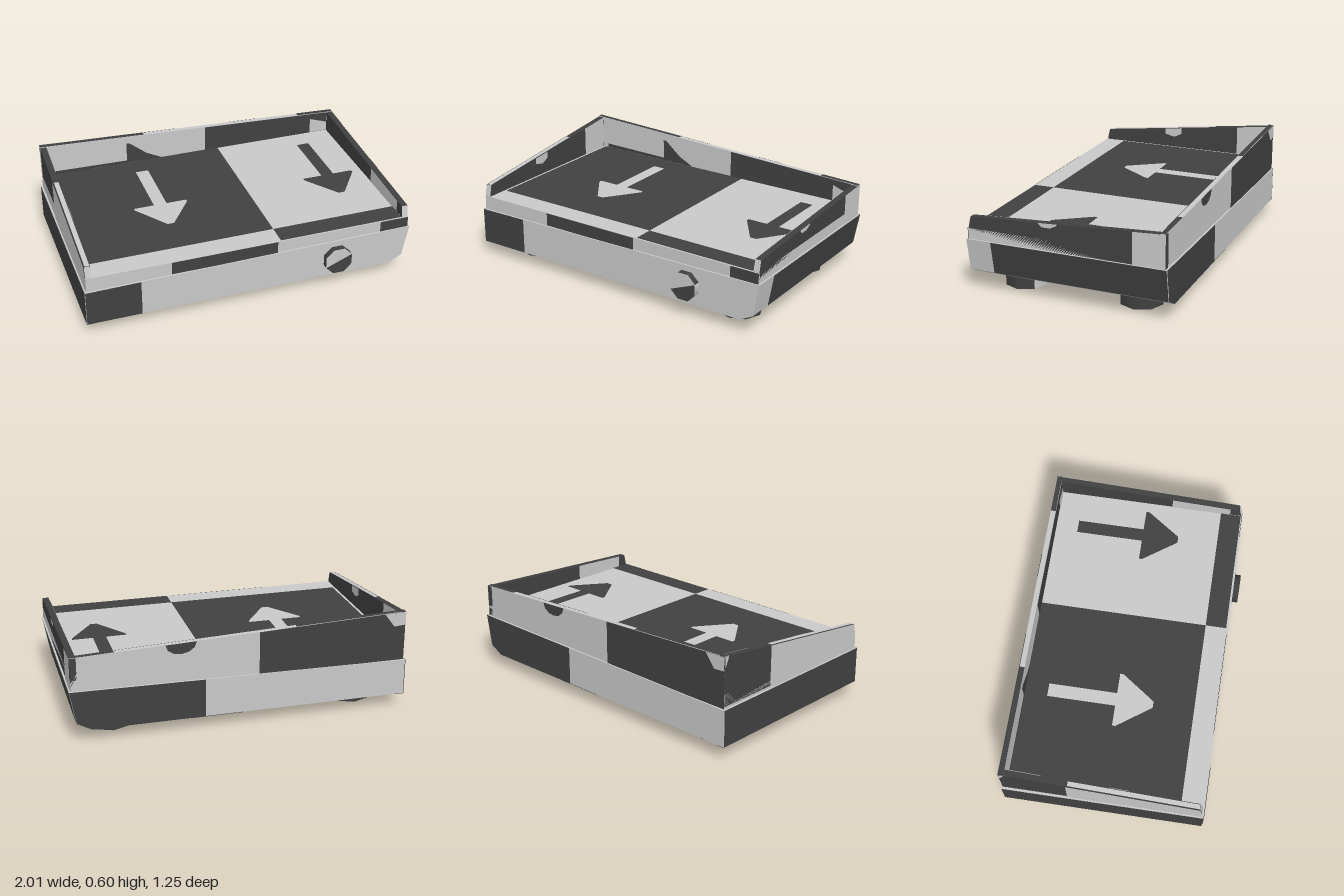
import * as THREE from 'three';

export function createModel() {
  const model = new THREE.Group();
  const light = new THREE.MeshStandardMaterial({ color: 0xc8c8c8, side: THREE.DoubleSide });
  light.name = 'light grey';
  const dark = new THREE.MeshStandardMaterial({ color: 0x404040, side: THREE.DoubleSide });
  dark.name = 'dark grey';

  const add = (name, geo, mat) => {
    const mesh = new THREE.Mesh(geo, mat);
    mesh.name = name;
    model.add(mesh);
    return mesh;
  };
  const shapeOf = pts => new THREE.Shape(pts.map(p => new THREE.Vector2(p[0], p[1])));
  const rect = (a, b, c, d) => [[a, c], [b, c], [b, d], [a, d]];

  // Thin painted face: a flat outline moved into place by a rule
  const paint = (name, mat, pts, place) => {
    const geo = new THREE.ShapeGeometry(shapeOf(pts));
    const pos = geo.attributes.position;
    for (let i = 0; i < pos.count; i++) pos.setXYZ(i, ...place(pos.getX(i), pos.getY(i)));
    geo.computeVertexNormals();
    return add(name, geo, mat);
  };
  const atX = x => (z, y) => [x, y, z];
  const atY = y => (x, z) => [x, y, z];
  const atZ = z => (x, y) => [x, y, z];

  // Outline extruded along z or along x
  const prismZ = (pts, z0, z1) =>
    new THREE.ExtrudeGeometry(shapeOf(pts), { depth: z1 - z0, bevelEnabled: false }).translate(0, 0, z0);
  const prismX = (pts, x0, x1) =>
    new THREE.ExtrudeGeometry(shapeOf(pts.map(([z, y]) => [-z, y])), { depth: x1 - x0, bevelEnabled: false })
      .rotateY(Math.PI / 2).translate(x0, 0, 0);

  // Eight-sided cylinder with chosen side facets in the second colour
  const octagon = (name, r, h, mats, facets, start = 0) => {
    const geo = new THREE.CylinderGeometry(r, r, h, 8, 1, false, start);
    geo.clearGroups();
    for (let i = 0; i < 8; i++) geo.addGroup(i * 6, 6, facets.includes(i) ? 1 : 0);
    geo.addGroup(48, 48, 0);
    return add(name, geo, mats);
  };

  // Base with one chamfered long edge
  add('base', prismZ([[-1, 0.08], [0.88, 0.08], [0.965, 0.125], [1, 0.32], [-1, 0.297]], -0.625, 0.585), light);
  paint('baseFrontPatch', dark, [[-1, 0.08], [-0.675, 0.08], [-0.675, 0.301], [-1, 0.297]], atZ(0.588));
  paint('baseLeftPatch', dark, rect(-0.625, 0.43, 0.125, 0.32),
    (z, y) => [0.968 + (y - 0.125) * 0.18, y, z]);
  paint('baseRightPatch', dark, rect(-0.625, 0.585, 0.08, 0.297), atX(-1.003));
  paint('baseBackPatch', dark,
    [[0.22, 0.08], [0.88, 0.08], [0.965, 0.125], [1, 0.32], [0.22, 0.311]], atZ(-0.628));
  paint('bottomEdgeStrip', dark, rect(-1, -0.95, -0.625, 0.585), atY(0.077));
  paint('bottomArrow', dark, [[0.07, 0.41], [0.22, 0.41], [0.22, -0.41], [0.49, -0.41],
    [0.3, -0.625], [0, -0.625], [-0.19, -0.41], [0.07, -0.41]], atY(0.077));

  // Feet
  for (const [x, z, facets] of [[-0.74, 0.34, [1]], [0.74, 0.34, [3]], [-0.74, -0.38, [1]], [0.74, -0.38, [0]]]) {
    octagon('foot', 0.13, 0.085, [dark, light], facets).position.set(x, 0.0425, z);
  }

  // Front knob
  const knob = octagon('knob', 0.088, 0.06, [light, dark], [2, 3, 4, 5], Math.PI / 8);
  knob.rotation.x = Math.PI / 2;
  knob.position.set(0.53, 0.197, 0.593);
  const half = [0, 1, 2, 3, 4].map(i => {
    const a = Math.PI * (9 / 8 + i / 4);
    return [0.53 + 0.088 * Math.cos(a), 0.197 + 0.088 * Math.sin(a)];
  });
  paint('knobFacePatch', dark, half, atZ(0.625));

  // Tray floor and its front edge
  add('trayFloor', new THREE.BoxGeometry(1.98, 0.095, 1.19).translate(0, 0.3375, -0.02), light);
  paint('trayFrontPatch', dark, rect(-0.49, 0.155, 0.306, 0.385), atZ(0.578));
  paint('trayFrontPatch', dark, rect(0.81, 0.99, 0.315, 0.385), atZ(0.578));
  paint('floorPanel', dark, rect(-0.935, 0.175, -0.585, 0.443), atY(0.388));
  paint('floorStrip', dark, rect(0.175, 0.95, 0.443, 0.57), atY(0.388));

  // Floor arrows
  const arrow = cx => [[-0.04, -0.445], [0.04, -0.445], [0.04, -0.03], [0.165, -0.03], [0.165, -0.01],
    [0.02, 0.195], [-0.02, 0.195], [-0.165, -0.01], [-0.165, -0.03], [-0.04, -0.03]].map(([x, z]) => [cx + x, z]);
  paint('floorArrow', light, arrow(-0.38), atY(0.391));
  paint('floorArrow', dark, arrow(0.725), atY(0.388));

  // Sloping side walls
  const wall = top => [[0.575, 0.31], [0.57, 0.39], [0.555, 0.455], [-0.615, top], [-0.615, 0.31]];
  add('rightWall', prismX(wall(0.6), -0.99, -0.953), dark);
  add('leftWall', prismX(wall(0.518), 0.953, 0.99), dark);
  const highTop = z => 0.455 + (0.555 - z) * 0.145 / 1.17;
  const lowTop = z => 0.455 + (0.555 - z) * 0.063 / 1.17;

  paint('rightWallOuterPatch', light, [[-0.23, 0.297], [0.575, 0.297], [0.57, 0.39], [0.555, 0.455],
    [-0.23, highTop(-0.23)]], atX(-0.993));
  paint('rightWallCornerPatch', light, [[-0.615, 0.53], [-0.615, 0.6], [-0.585, highTop(-0.585)]], atX(-0.993));
  paint('rightWallInnerPatch', light, [[-0.58, 0.385], [-0.38, 0.385], [-0.38, highTop(-0.38)],
    [-0.58, highTop(-0.58)]], atX(-0.95));
  paint('rightWallInnerSpot', light, [[0.135, 0.47], [0.07, 0.455], [0.02, 0.48], [0.02, highTop(0.02)],
    [0.135, highTop(0.135)]], atX(-0.95));
  paint('rightRimPatch', light, rect(-0.985, -0.957, -0.22, 0.555), (x, z) => [x, highTop(z) + 0.002, z]);

  paint('leftWallOuterPatch', light, [[-0.615, 0.32], [-0.425, 0.32], [-0.425, lowTop(-0.425)],
    [-0.615, 0.518]], atX(0.993));
  paint('leftWallOuterSpot', light, [[0.11, 0.455], [0.06, 0.455], [0.02, 0.475], [0.02, lowTop(0.02)],
    [0.135, lowTop(0.135)]], atX(0.993));
  paint('leftWallInnerPatch', light, [[0.13, 0.385], [0.5, 0.385], [0.5, lowTop(0.5)],
    [0.13, lowTop(0.13)]], atX(0.95));

  // Light front ends of the walls
  for (const x of [-0.99, 0.953]) {
    paint('wallEnd', light, rect(x, x + 0.037, 0.387, 0.455),
      (px, y) => [px, y, 0.572 - (y - 0.39) * 0.23]);
  }

  // Sloping back wall
  const backTop = x => 0.559 - x * 0.0414;
  const backPiece = (a, b, y) => [[a, y], [b, y], [b, backTop(b)], [a, backTop(a)]];
  add('backWall', prismZ(backPiece(-0.99, 0.99, 0.31), -0.615, -0.585), light);
  paint('backOuterPatch', dark, backPiece(-0.99, -0.1, 0.3), atZ(-0.618));
  paint('backOuterCornerPatch', light, [[-0.99, 0.52], [-0.92, 0.515], [-0.86, backTop(-0.86)],
    [-0.99, backTop(-0.99)]], atZ(-0.621));
  const spot = [0, 1, 2, 3, 4, 5, 6].map(i => {
    const x = 0.36 - 0.09 * Math.cos(i * Math.PI / 6);
    return [x, backTop(x) - 0.065 * Math.sin(i * Math.PI / 6)];
  });
  paint('backOuterSpot', dark, spot, atZ(-0.618));
  paint('backInnerPatch', dark, backPiece(0.09, 0.95, 0.387), atZ(-0.582));
  paint('backInnerCorner', light, [[0.83, 0.39], [0.95, 0.39], [0.95, 0.45], [0.83, 0.49]], atZ(-0.579));
  paint('backInnerWedge', dark, [[-0.91, 0.39], [-0.21, 0.39], [-0.31, 0.44], [-0.42, 0.53], [-0.44, 0.53],
    [-0.44, 0.407], [-0.91, 0.415]], atZ(-0.582));
  for (const [a, b] of [[-0.99, -0.32], [0.74, 0.99]]) {
    paint('backRimPatch', dark, rect(a, b, -0.615, -0.585), (x, z) => [x, backTop(x) + 0.002, z]);
  }

  return model;
}
